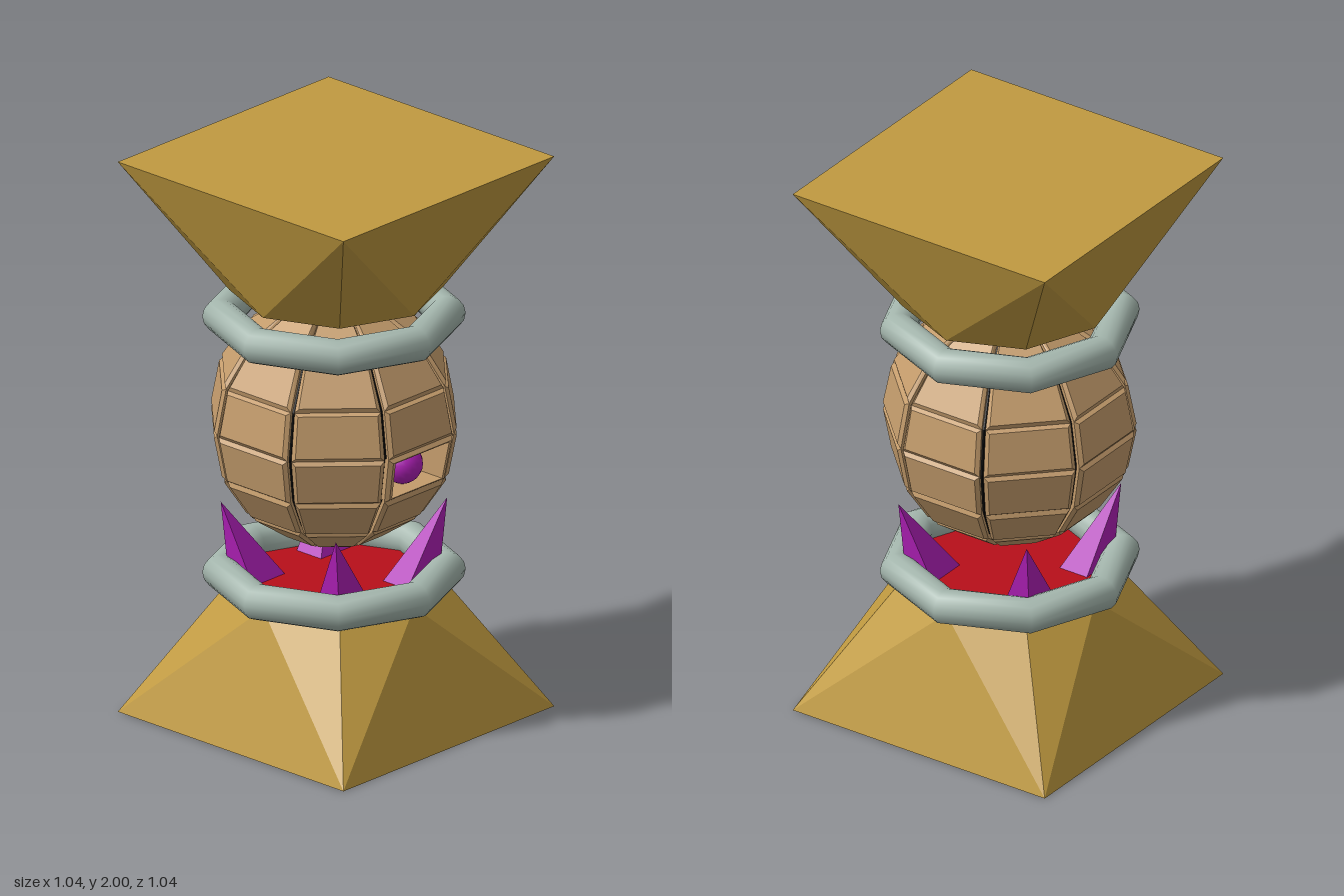
import * as THREE from 'three';
import { ConvexGeometry } from 'three/addons/geometries/ConvexGeometry.js';

const V = (x, y, z) => new THREE.Vector3(x, y, z);
const mat = (color, flatShading = true) => new THREE.MeshStandardMaterial({ color, flatShading });

function add(parent, name, geometry, material, x = 0, y = 0, z = 0) {
  const mesh = new THREE.Mesh(geometry, material);
  mesh.name = name;
  mesh.position.set(x, y, z);
  parent.add(mesh);
  return mesh;
}

// Square foot that narrows to an octagon
function pedestal(yWide, yNarrow) {
  const points = [];
  for (const x of [-0.52, 0.52]) for (const z of [-0.52, 0.52]) points.push(V(x, yWide, z));
  for (let i = 0; i < 8; i++) {
    const a = i * Math.PI / 4;
    points.push(V(0.36 * Math.cos(a), yNarrow, 0.36 * Math.sin(a)));
  }
  return new ConvexGeometry(points);
}

// Joins four-cornered loops in order and caps the last one
function loftLoops(out, loops) {
  const quad = (a, b, c, d) => [a, b, c, a, c, d].forEach(p => out.push(p));
  for (let k = 0; k + 1 < loops.length; k++) {
    const a = loops[k], b = loops[k + 1];
    for (let i = 0; i < 4; i++) {
      const j = (i + 1) % 4;
      quad(a[i], a[j], b[j], b[i]);
    }
  }
  quad(...loops[loops.length - 1]);
}

function fromPoints(points) {
  const g = new THREE.BufferGeometry().setFromPoints(points);
  g.computeVertexNormals();
  return g;
}

export function createModel() {
  const group = new THREE.Group();
  const gold = mat(0xc09a40), steel = mat(0xa3b5ac, false), purple = mat(0xb020b8);
  const cx = -0.01;

  // Pedestals
  add(group, 'lowerPedestal', pedestal(0, 0.47), gold);
  add(group, 'upperPedestal', pedestal(2, 1.53), gold);
  add(group, 'redFloor', new THREE.CylinderGeometry(0.36, 0.36, 0.012, 8).rotateY(Math.PI / 4),
    mat(0xb80f1a), 0, 0.476, 0);

  // Octagonal rings
  const ring = new THREE.TorusGeometry(0.382, 0.062, 14, 8).rotateX(Math.PI / 2);
  add(group, 'lowerRing', ring, steel, cx, 0.507, 0);
  add(group, 'upperRing', ring, steel, cx, 1.438, 0);

  // Spikes leaning outward, one on each diagonal
  for (const sx of [-1, 1]) for (const sz of [-1, 1]) {
    const points = [V(sx * 0.275, 0.765, sz * 0.265)];
    for (const x of [0.085, 0.245]) for (const z of [0.14, 0.255]) points.push(V(sx * x, 0.475, sz * z));
    add(group, 'spike', new ConvexGeometry(points), purple, cx, 0, 0);
  }

  // Round body: an eight by eight sphere of bevelled panels over a black core
  const R = 0.445, N = 8;
  const ballPoint = (row, col) => {
    const t = Math.min(Math.max(row / N, 0.01), 0.99) * Math.PI;
    const p = (col - 0.5) * 2 * Math.PI / N;
    return V(R * Math.sin(t) * Math.sin(p), R * Math.cos(t), R * Math.sin(t) * Math.cos(p));
  };
  const panels = [], core = [];
  for (let row = 0; row < N; row++) for (let col = 0; col < N; col++) {
    const bl = ballPoint(row + 1, col), br = ballPoint(row + 1, col + 1);
    const tr = ballPoint(row, col + 1), tl = ballPoint(row, col);
    // Cell outline inset by fractions u and v, scaled from the ball centre
    const loop = (u, v, s, dz = 0) => [[u, v], [1 - u, v], [1 - u, 1 - v], [u, 1 - v]].map(([a, b]) =>
      bl.clone().lerp(br, a).lerp(tl.clone().lerp(tr, a), b).multiplyScalar(s).add(V(0, 0, dz)));
    const loops = [loop(0.023, 0, 0.9), loop(0.023, 0, 0.97), loop(0.075, 0.08, 1)];
    const isNiche = row === 4 && col === 0;
    // Eye niche sunk into the front panel
    if (isNiche) loops.push(loop(0.11, 0.1, 1), loop(0.13, 0.12, 1, -0.12));
    else loftLoops(core, [loop(0, 0, 0.935)]);
    loftLoops(panels, loops);
  }
  const body = new THREE.Group();
  body.name = 'body';
  body.position.set(cx, 1.065, 0);
  group.add(body);
  add(body, 'woodPanels', fromPoints(panels), mat(0xc49c6c));
  add(body, 'blackCore', fromPoints(core), mat(0x080808));
  add(body, 'eye', new THREE.SphereGeometry(0.07, 20, 14), mat(0xb020b8, false), 0, -0.08, 0.315);

  return group;
}
